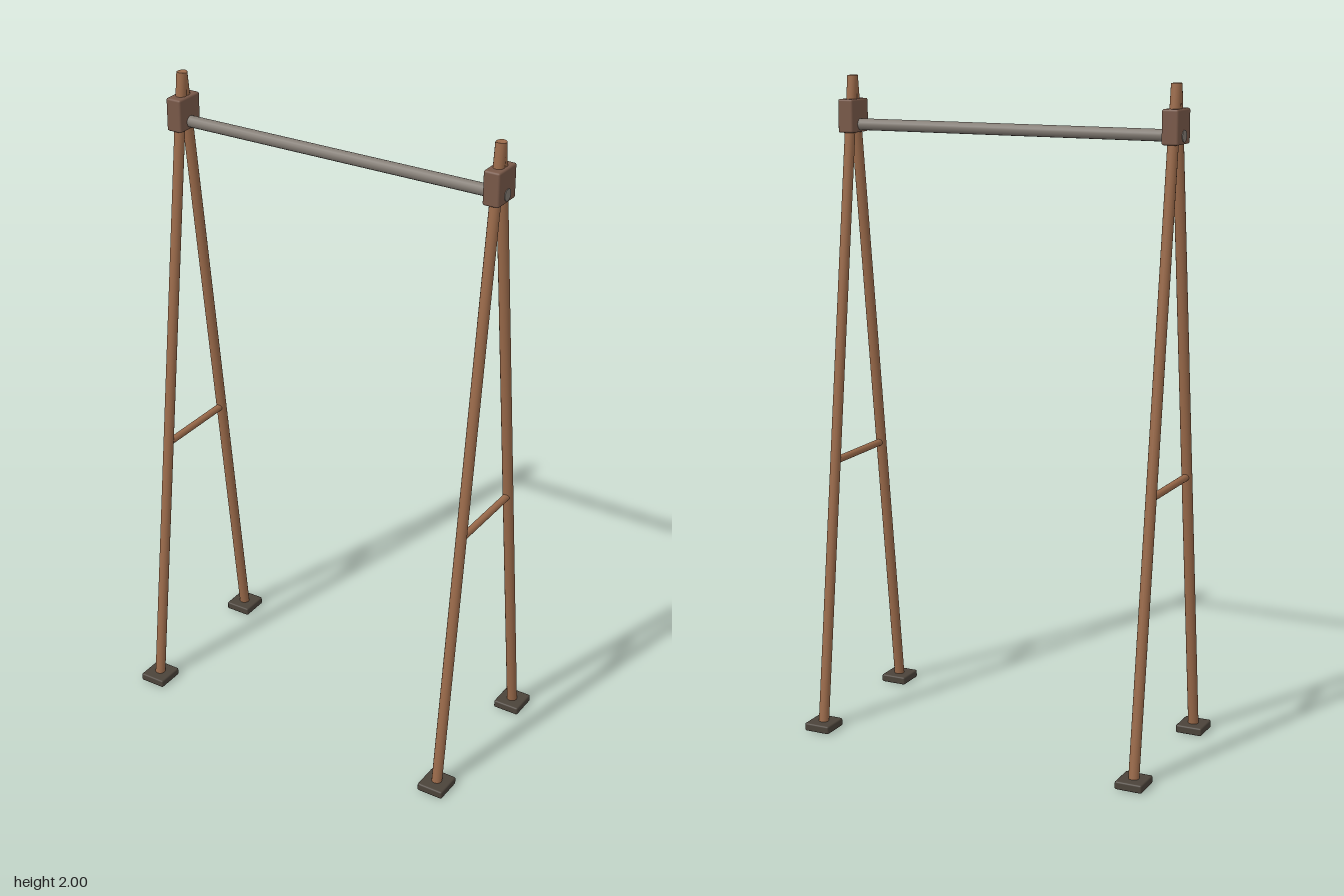
import * as THREE from 'three';
import { RoundedBoxGeometry } from 'three/addons/geometries/RoundedBoxGeometry.js';

const mat = (name, color) => Object.assign(new THREE.MeshStandardMaterial({ color }), { name });

export function createModel() {
  const wood = mat('brown wood', 0x9a6a4a);
  const bracketBrown = mat('dark bracket brown', 0x785848);
  const steel = mat('grey steel', 0x827b73);
  const rubber = mat('dark foot', 0x4b433a);

  const model = new THREE.Group();
  model.name = 'horizontalBarFrame';

  const add = (parent, name, geometry, material) => {
    const mesh = new THREE.Mesh(geometry, material);
    mesh.name = name;
    parent.add(mesh);
    return mesh;
  };

  // Round rod between two points
  const rod = (parent, name, a, b, radius, material) => {
    const dir = b.clone().sub(a);
    const mesh = add(parent, name, new THREE.CylinderGeometry(radius, radius, dir.length(), 16), material);
    mesh.position.copy(a).add(b).multiplyScalar(0.5);
    mesh.quaternion.setFromUnitVectors(new THREE.Vector3(0, 1, 0), dir.normalize());
  };

  const V = (x, y, z) => new THREE.Vector3(x, y, z);
  const footZ = 0.244;

  for (const side of [-1, 1]) {
    // A-shaped end frame
    const frame = new THREE.Group();
    frame.name = side > 0 ? 'leftEndFrame' : 'rightEndFrame';
    frame.position.x = side * 0.521;
    model.add(frame);

    for (const s of [-1, 1]) {
      rod(frame, s > 0 ? 'frontLeg' : 'backLeg', V(0, 0.014, s * footZ), V(0, 1.998, 0), 0.016, wood);
      add(frame, s > 0 ? 'frontFoot' : 'backFoot', new RoundedBoxGeometry(0.084, 0.025, 0.09, 2, 0.005), rubber)
        .position.set(0, 0.0125, s * footZ);
    }

    // Cross rung and top bracket
    rod(frame, 'rung', V(0, 0.836, -0.143), V(0, 0.836, 0.143), 0.011, wood);
    add(frame, 'bracket', new RoundedBoxGeometry(0.05, 0.1, 0.098, 2, 0.006), bracketBrown)
      .position.y = 1.879;
  }

  // Horizontal bar, its ends just showing through the brackets
  rod(model, 'bar', V(-0.548, 1.853, 0), V(0.548, 1.853, 0), 0.0175, steel);

  return model;
}
